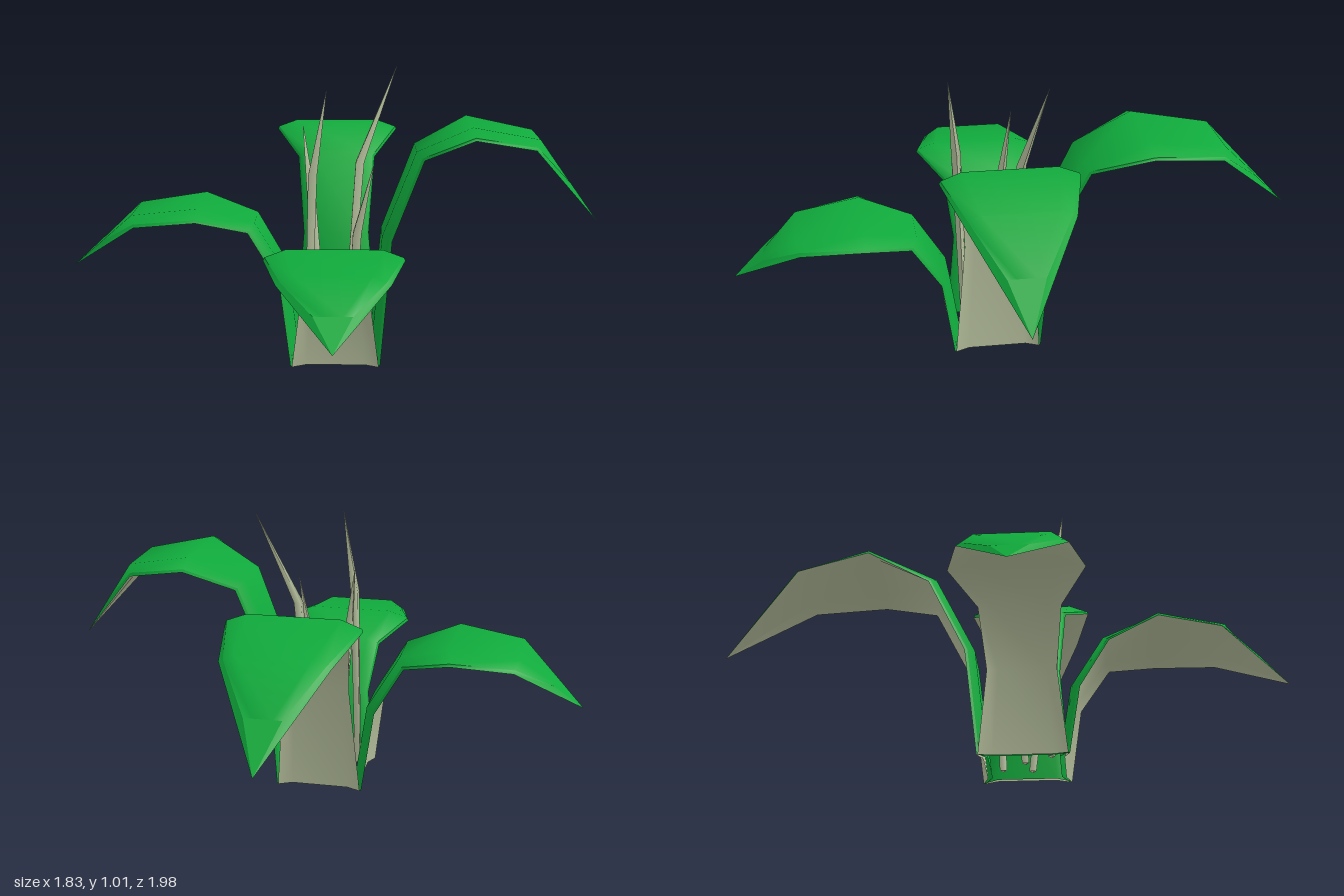
import * as THREE from 'three';

const green = new THREE.MeshStandardMaterial({ color: 0x10aa3c, side: THREE.DoubleSide });
green.name = 'leafGreen';
const pale = new THREE.MeshStandardMaterial({ color: 0xbcc6a2, side: THREE.DoubleSide });
pale.name = 'paleUnderside';

// Smooth skin over rows that all have the same number of points
function skin(name, rows, material) {
  const n = rows[0].length;
  const index = [];
  for (let i = 0; i < rows.length - 1; i++) {
    for (let j = 0; j < n - 1; j++) {
      const a = i * n + j, c = a + n;
      index.push(a, a + 1, c, a + 1, c + 1, c);
    }
  }
  const geo = new THREE.BufferGeometry();
  geo.setAttribute('position', new THREE.Float32BufferAttribute(rows.flat(2), 3));
  geo.setIndex(index);
  geo.computeVertexNormals();
  const mesh = new THREE.Mesh(geo, material);
  mesh.name = name;
  return mesh;
}

// Ridge line of a leaf: distance from the hub, relative height, half width, rim inset
const INNER = 0.12, DROP = 0.035;
const STATIONS = [
  [0.12, 0, 0.15, 0.97],
  [0.16, 0.53, 0.118, 0.96],
  [0.275, 0.89, 0.14, 0.95],
  [0.46, 1, 0.226, 0.98],
  [0.69, 0.945, 0.177, 0.91],
  [0.912, 0.575, 0, 0],
];

// One arched leaf growing along +x: green top, bevelled rim and pale underside
function makeLeaf(name, height, stretch, angle) {
  const path = STATIONS.map(([r, y]) => new THREE.Vector2(INNER + (r - INNER) * stretch, y * height));
  const top = [], under = [], rimA = [], rimB = [];
  for (let i = 0; i < 5; i++) {
    const p = path[i], [, , w, inset] = STATIONS[i];
    const before = path[Math.max(i - 1, 0)], after = path[i + 1];
    const t = after.clone().sub(p).normalize();
    if (i > 0) t.add(p.clone().sub(before).normalize()).normalize();
    const at = (z, depth) => [p.x + t.y * depth, p.y - t.x * depth, z];
    const r = w * inset, s = w * 0.68;
    top.push([at(-r, DROP * 0.72), at(-s, 0), at(s, 0), at(r, DROP * 0.72)]);
    under.push([at(w, DROP), at(s, DROP * 0.45), at(-s, DROP * 0.45), at(-w, DROP)]);
    rimA.push([at(-w, DROP), at(-r, DROP * 0.72)]);
    rimB.push([at(r, DROP * 0.72), at(w, DROP)]);
  }
  // The top face stops short of the pointed tip
  const tip = [path[5].x, path[5].y, 0];
  const e = path[4].clone().lerp(path[5], 0.52);
  const end = [-0.06, -0.03, 0.03, 0.06].map((z) => [e.x, e.y, z]);
  top.push(end);
  under.push([tip, tip, tip, tip]);
  rimA.push([tip, end[0]]);
  rimB.push([end[3], tip]);

  const leaf = new THREE.Group();
  leaf.name = name;
  leaf.add(
    skin('leafTop', top, green),
    skin('leafUnderside', under, pale),
    skin('leafRimRight', rimA, green),
    skin('leafRimLeft', rimB, green),
    skin('leafTip', [[end[0], end[3]], [tip, tip]], green),
  );
  leaf.rotation.y = angle;
  leaf.position.z = 0.077;
  return leaf;
}

// Slender three-sided shoot that tapers to a point
function makeShoot(name, root, bend, tip) {
  const radii = [0.014, 0.02, 0.001];
  const rows = [root, bend, tip].map(([x, y, z], i) =>
    [0, 1, 2, 3].map((k) => {
      const a = (k * Math.PI * 2) / 3;
      return [x + Math.cos(a) * radii[i], y, z - Math.sin(a) * radii[i]];
    }));
  return skin(name, rows, pale);
}

export function createModel() {
  const model = new THREE.Group();
  model.name = 'leafyPlant';
  model.add(
    makeLeaf('leftLeaf', 0.83, 1, 0),
    makeLeaf('backLeaf', 0.76, 1.2, Math.PI / 2),
    makeLeaf('rightLeaf', 0.552, 1.01, Math.PI),
    makeLeaf('frontLeaf', 0.485, 1, -Math.PI / 2),
    makeShoot('tallShoot', [0.03, 0, 0], [0.08, 0.67, -0.02], [0.213, 1.0, -0.09]),
    makeShoot('frontShoot', [-0.1, 0, 0.17], [-0.082, 0.66, 0.19], [-0.03, 0.95, 0.22]),
    makeShoot('innerShoot', [-0.04, 0, 0.08], [-0.09, 0.55, 0.03], [-0.115, 0.8, -0.01]),
    makeShoot('shortShoot', [0.045, 0, 0.1], [0.07, 0.45, 0.15], [0.13, 0.7, 0.2]),
  );
  return model;
}
